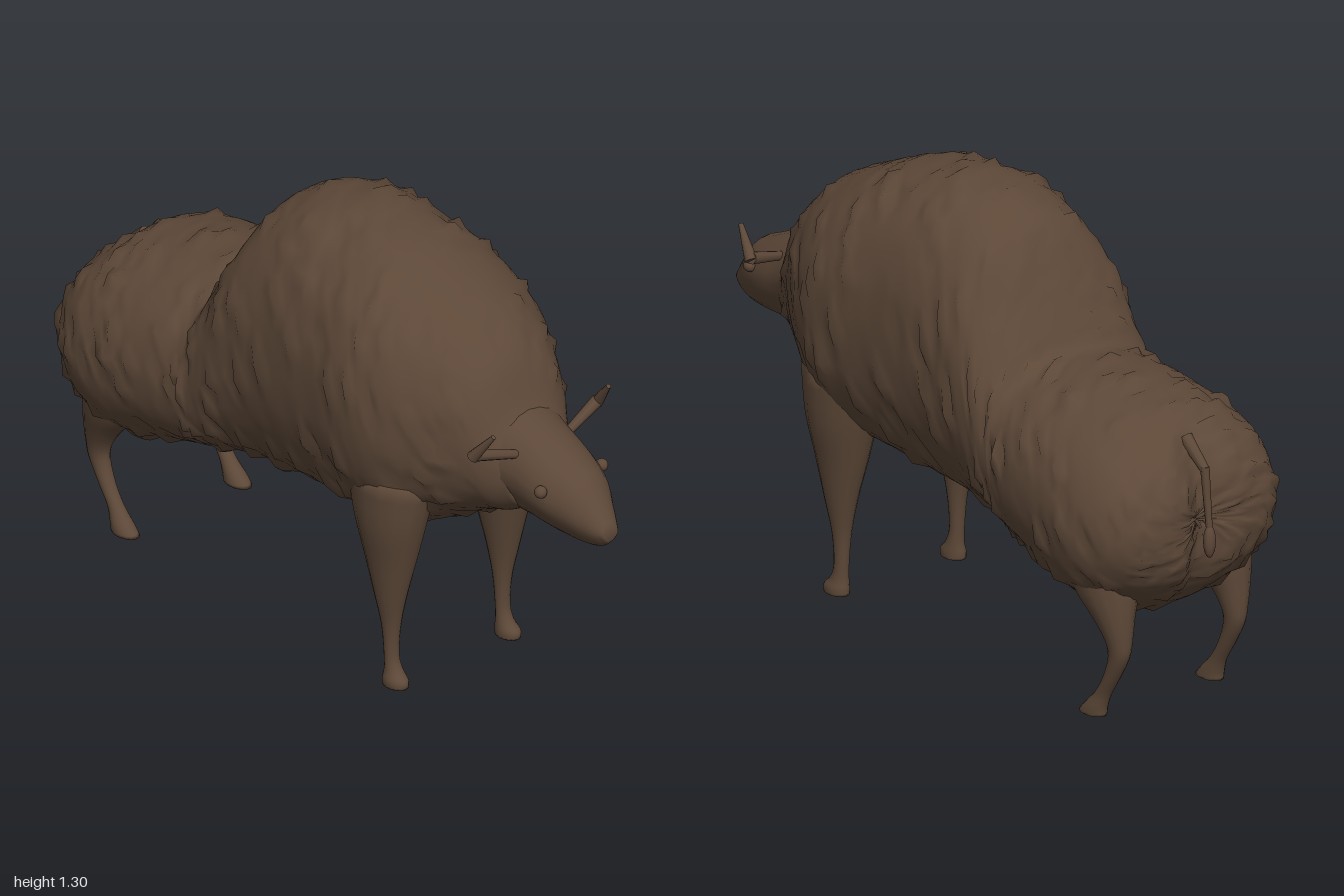
import * as THREE from 'three';

const fur = new THREE.MeshStandardMaterial({ color: 0x5d4838 });
fur.name = 'brown fur';

// Repeatable value in 0..1 for each pair of whole numbers
function hash(i, j) {
  const s = Math.sin(i * 127.1 + j * 311.7) * 43758.5453;
  return s - Math.floor(s);
}

// Closed tube skin: point(t, angle, i, j) gives each vertex of each ring
function skin(rings, sides, point) {
  const pos = [], index = [];
  for (let i = 0; i <= rings; i++)
    for (let j = 0; j < sides; j++)
      pos.push(...point(i / rings, (j / sides) * Math.PI * 2, i, j));
  for (let i = 0; i < rings; i++)
    for (let j = 0; j < sides; j++) {
      const k = (j + 1) % sides;
      const a = i * sides + j, b = i * sides + k;
      const c = a + sides, d = b + sides;
      index.push(a, c, b, b, c, d);
    }
  // Cap both ends
  for (const [row, end] of [[0, false], [rings, true]]) {
    const o = row * sides;
    for (let j = 1; j < sides - 1; j++)
      index.push(o, ...(end ? [o + j + 1, o + j] : [o + j, o + j + 1]));
  }
  const g = new THREE.BufferGeometry();
  g.setAttribute('position', new THREE.Float32BufferAttribute(pos, 3));
  g.setIndex(index);
  g.computeVertexNormals();
  return g;
}

// Smooth curves through rows of numbers, three columns at a time
function rowCurve(rows, first) {
  return new THREE.CatmullRomCurve3(
    rows.map(r => new THREE.Vector3(r[first], r[first + 1] ?? 0, r[first + 2] ?? 0)),
    false, 'catmullrom', 0.5);
}

function add(group, name, geometry) {
  const m = new THREE.Mesh(geometry, fur);
  m.name = name;
  group.add(m);
  return m;
}

const soft = (v, p) => Math.sign(v) * Math.pow(Math.abs(v), p);

// Body sections: half width, underside, top, z
const BODY = [
  [0.11, 0.65, 0.84, 0.72], [0.15, 0.61, 0.92, 0.66], [0.19, 0.59, 1.04, 0.6],
  [0.25, 0.54, 1.13, 0.5], [0.305, 0.48, 1.18, 0.4], [0.325, 0.44, 1.22, 0.31],
  [0.325, 0.43, 1.255, 0.22], [0.315, 0.42, 1.275, 0.1], [0.31, 0.41, 1.285, -0.02],
  [0.305, 0.4, 1.26, -0.14], [0.305, 0.39, 1.2, -0.24], [0.305, 0.38, 1.07, -0.32],
  [0.305, 0.37, 0.96, -0.38], [0.31, 0.36, 0.895, -0.42], [0.325, 0.34, 0.89, -0.5],
  [0.335, 0.31, 0.885, -0.61], [0.34, 0.28, 0.87, -0.71], [0.33, 0.29, 0.85, -0.81],
  [0.3, 0.34, 0.8, -0.89], [0.25, 0.4, 0.74, -0.95], [0.17, 0.47, 0.67, -0.98],
  [0.02, 0.56, 0.59, -0.985],
];

function bodyGeometry() {
  const section = rowCurve(BODY, 0), depth = rowCurve(BODY, 3);
  return skin(84, 52, (t, a, i, j) => {
    const s = section.getPoint(t);
    let z = depth.getPoint(t).x;
    // Small tufts stand out of the coat
    const r = hash(i, j);
    const tuft = t < 0.08 ? 0 : r > 0.94 ? 0.016 : r < 0.04 ? -0.012 : (r - 0.5) * 0.005;
    const mid = (s.y + s.z) / 2, half = (s.z - s.y) / 2;
    const x = soft(Math.cos(a), 0.9) * (s.x + tuft);
    const y = mid + soft(Math.sin(a), 0.9) * (half + tuft);
    // Crease between the haunches
    if (z < -0.85) z += 0.05 * Math.exp(-((x / 0.05) ** 2)) * Math.min(1, (-z - 0.85) * 9);
    if (z < -0.93) z += (hash(j, i) - 0.5) * 0.012;
    return [x, y, z];
  });
}

// Head sections from nose to neck: half width, underside, top, z
const HEAD = [
  [0.025, 0.645, 0.685, 1.0], [0.042, 0.622, 0.72, 0.975], [0.062, 0.61, 0.765, 0.94],
  [0.085, 0.607, 0.81, 0.9], [0.107, 0.608, 0.838, 0.84], [0.117, 0.61, 0.865, 0.78],
  [0.122, 0.612, 0.89, 0.72], [0.14, 0.61, 0.92, 0.64], [0.16, 0.6, 0.95, 0.56],
];

function headGeometry() {
  const section = rowCurve(HEAD, 0), depth = rowCurve(HEAD, 3);
  return skin(24, 24, (t, a) => {
    const s = section.getPoint(t), up = Math.sin(a);
    // Narrower towards the jaw
    const jaw = 1 + 0.3 * Math.min(0, up) + 0.08 * Math.max(0, up);
    return [Math.cos(a) * s.x * jaw, (s.y + s.z) / 2 + up * (s.z - s.y) / 2, depth.getPoint(t).x];
  });
}

// Leg sections from top to foot: centre x, y, z, half width, half depth
const FRONT_LEG = [
  [0.19, 0.66, 0.33, 0.1, 0.15], [0.2, 0.52, 0.335, 0.088, 0.115],
  [0.2, 0.4, 0.335, 0.066, 0.083], [0.202, 0.28, 0.336, 0.044, 0.05],
  [0.2, 0.18, 0.336, 0.027, 0.028], [0.2, 0.09, 0.337, 0.021, 0.021],
  [0.2, 0.045, 0.345, 0.024, 0.028], [0.202, 0.02, 0.355, 0.03, 0.042],
  [0.202, 0.0, 0.355, 0.03, 0.042],
];
const BACK_LEG = [
  [0.19, 0.5, -0.74, 0.11, 0.13], [0.195, 0.38, -0.78, 0.085, 0.1],
  [0.2, 0.3, -0.82, 0.055, 0.062], [0.2, 0.24, -0.841, 0.037, 0.04],
  [0.2, 0.19, -0.842, 0.028, 0.032], [0.2, 0.12, -0.81, 0.023, 0.025],
  [0.2, 0.065, -0.775, 0.022, 0.026], [0.202, 0.025, -0.748, 0.029, 0.038],
  [0.202, 0.0, -0.735, 0.031, 0.048],
];

function legGeometry(rows, side) {
  const centre = rowCurve(rows, 0), size = rowCurve(rows, 3);
  return skin(24, 16, (t, a) => {
    const c = centre.getPoint(t), s = size.getPoint(t);
    return [side * c.x + Math.cos(a) * s.x, Math.max(0, c.y), c.z - Math.sin(a) * s.y];
  });
}

// Tapered rod between two points
function rod(group, name, from, to, r0, r1) {
  const a = new THREE.Vector3(...from), b = new THREE.Vector3(...to);
  const dir = b.clone().sub(a);
  const m = add(group, name, new THREE.CylinderGeometry(r1, r0, dir.length(), 8));
  m.position.copy(a).add(b).multiplyScalar(0.5);
  m.quaternion.setFromUnitVectors(new THREE.Vector3(0, 1, 0), dir.normalize());
}

export function createModel() {
  const model = new THREE.Group();
  model.name = 'bison';
  add(model, 'body', bodyGeometry());
  add(model, 'head', headGeometry());

  for (const side of [1, -1]) {
    const label = side > 0 ? 'left' : 'right';
    add(model, label + 'FrontLeg', legGeometry(FRONT_LEG, side));
    add(model, label + 'BackLeg', legGeometry(BACK_LEG, side));

    const eye = add(model, label + 'Eye', new THREE.SphereGeometry(0.018, 12, 8));
    eye.position.set(side * 0.11, 0.77, 0.838);

    // Horn runs outwards, then turns up and forwards
    const horn = new THREE.Group();
    horn.name = label + 'Horn';
    rod(horn, 'hornBase', [side * 0.08, 0.828, 0.725], [side * 0.222, 0.866, 0.695], 0.012, 0.018);
    rod(horn, 'hornTip', [side * 0.224, 0.86, 0.692], [side * 0.207, 0.942, 0.757], 0.018, 0.007);
    model.add(horn);
  }

  // Tail hanging in the crease, with a tuft at the end
  const tail = new THREE.Group();
  tail.name = 'tail';
  rod(tail, 'tailRoot', [0, 0.79, -0.88], [0, 0.72, -0.965], 0.02, 0.013);
  rod(tail, 'tailStem', [0, 0.73, -0.962], [0, 0.55, -0.982], 0.013, 0.009);
  const tuft = add(tail, 'tailTuft', new THREE.SphereGeometry(0.02, 10, 8));
  tuft.scale.set(0.9, 2.4, 0.8);
  tuft.position.set(0, 0.52, -0.982);
  model.add(tail);
  return model;
}
